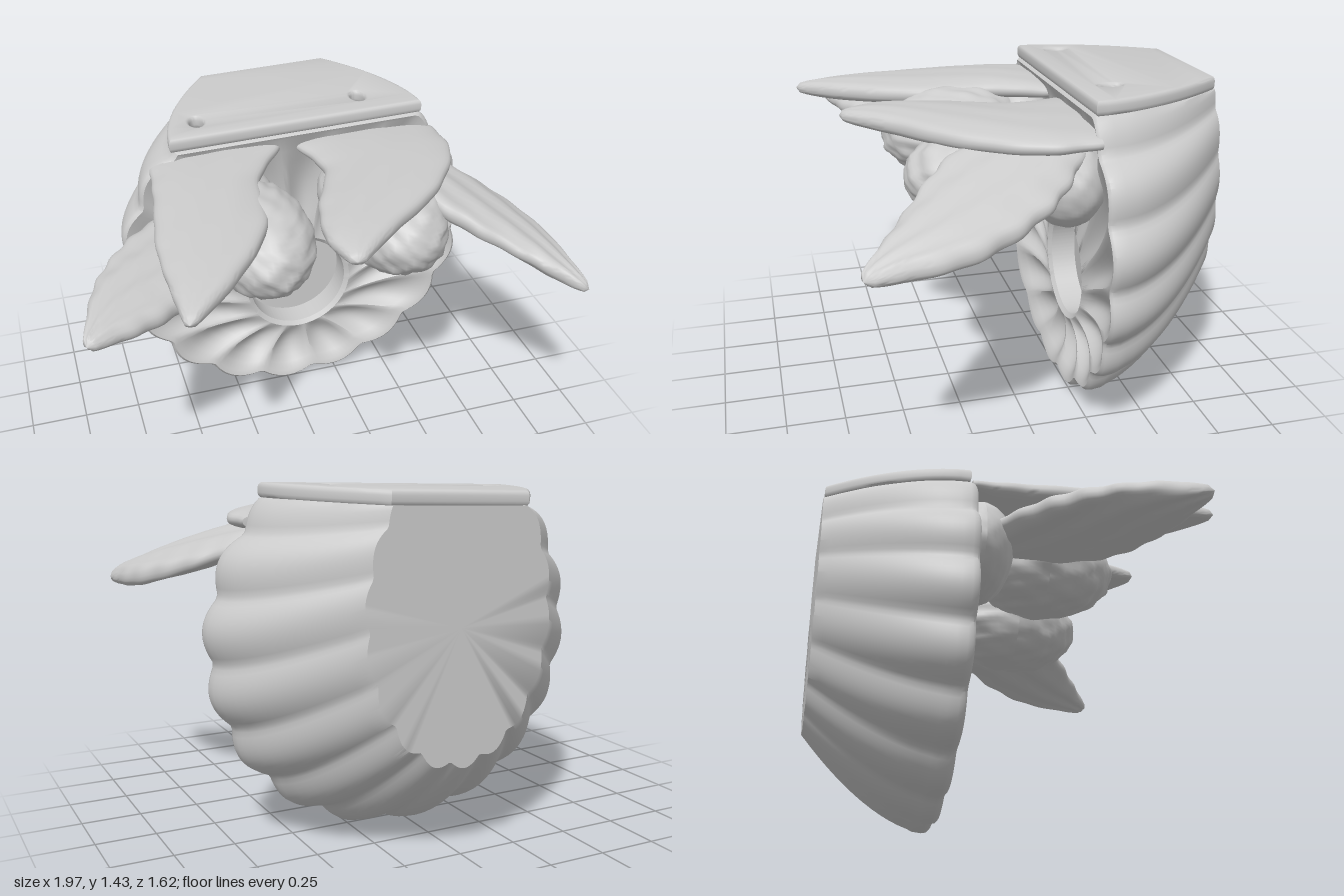
import * as THREE from 'three';
import { toCreasedNormals } from 'three/addons/utils/BufferGeometryUtils.js';

const V = (x, y, z) => new THREE.Vector3(x, y, z);
const grey = new THREE.MeshStandardMaterial({ color: 0xcccccc });

// Skin a list of equal-length closed rings
function loft(rings, crease) {
  const n = rings[0].length, idx = [];
  for (let i = 0; i < rings.length - 1; i++) for (let j = 0; j < n; j++) {
    const k = (j + 1) % n, a = i * n + j, b = i * n + k, c = a + n, d = b + n;
    idx.push(a, c, d, a, d, b);
  }
  const g = new THREE.BufferGeometry().setFromPoints(rings.flat());
  g.setIndex(idx);
  g.computeVertexNormals();
  return toCreasedNormals(g, crease);
}

function add(parent, name, geometry) {
  const m = new THREE.Mesh(geometry, grey);
  m.name = name;
  parent.add(m);
  return m;
}

// Shell: 18 ribs round an ellipse that shrinks and rises toward the back
const RIBS = 18, SEG = 216, CX = 0.05;
const rib = a => Math.abs(Math.sin((a + 0.07) * RIBS / 2));
const topY = x => 1.345 + 0.03 * x;
function ellipse(t) {
  const f = Math.pow(t, 1.7);
  return { cy: 0.78 + 0.17 * f, rx: 0.79 - 0.4 * f, ry: 0.78 - 0.2 * f };
}
const ring = fn => Array.from({ length: SEG }, (_, j) => fn(j / SEG * Math.PI * 2));
function outline(t, s, z) {
  const e = ellipse(t);
  return ring(a => {
    const k = s * (0.965 + 0.055 * rib(a));
    const x = CX + e.rx * k * Math.cos(a);
    const y = Math.min(e.cy + e.ry * k * Math.sin(a), topY(x) - (1 - s) * 0.5);
    return V(x, y, z + (t < 0.1 ? 0.025 * (y - 0.8) : 0));
  });
}
function shellGeometry() {
  const circle = (r, z) => ring(a => V(0.07 + r * Math.cos(a), 0.52 + r * Math.sin(a), z));
  const rim = outline(0, 0.95, -0.222), inner = circle(0.25, -0.275);
  const rings = [circle(0, -0.4), circle(0.23, -0.4), circle(0.23, -0.29), inner];
  // ribbed shallow dish between the round recess and the rim
  for (let i = 1; i < 8; i++) {
    const u = i / 8;
    rings.push(rim.map((p, j) => {
      const q = inner[j].clone().lerp(p, u);
      q.z -= Math.sin(u * Math.PI) * (0.015 + 0.045 * rib(j / SEG * Math.PI * 2));
      return q;
    }));
  }
  rings.push(rim, outline(0, 0.98, -0.215), outline(0, 0.995, -0.225));
  for (let i = 0; i <= 14; i++) rings.push(outline(i / 14, 1, -0.245 - 0.565 * i / 14));
  rings.push(ring(() => V(CX, 0.9, -0.81)));
  return loft(rings, 0.7);
}

// Flat top with two small screw holes
function topPlateGeometry() {
  const right = [], left = [];
  for (let i = 0; i <= 16; i++) {
    const t = i / 16, e = ellipse(t), z = -0.22 - 0.575 * t;
    const w = e.rx * Math.sqrt(1 - ((1.345 - e.cy) / e.ry) ** 2);
    right.push(new THREE.Vector2(CX + w, -z));
    left.unshift(new THREE.Vector2(CX - w, -z));
  }
  const shape = new THREE.Shape([...right, ...left]);
  for (const side of [-1, 1]) {
    const hole = new THREE.Path();
    hole.absellipse(side * 0.36, 0.35, 0.04, 0.058, 0, Math.PI * 2, true);
    shape.holes.push(hole);
  }
  const g = new THREE.ExtrudeGeometry(shape, {
    depth: 0.02, bevelThickness: 0.02, bevelSize: 0.015, bevelOffset: -0.005, bevelSegments: 3, curveSegments: 12
  });
  g.rotateX(-Math.PI / 2).rotateZ(0.03).translate(0, 1.36, 0);
  return toCreasedNormals(g, 0.6);
}

// Wing: lens-shaped sections between two plan edges (x, z) lying on a sloping plane
function wingGeometry(edgeA, edgeB, height, thick, ridge) {
  const curve = pts => new THREE.CatmullRomCurve3(pts.map(([x, z]) => V(x, height(x, z), z)));
  const A = curve(edgeA), B = curve(edgeB), rings = [], N = 48, M = 40;
  for (let i = 0; i <= N; i++) {
    const u = i / N, a = A.getPoint(u), b = B.getPoint(u);
    const mid = a.clone().lerp(b, 0.5), half = a.clone().sub(mid);
    const open = i === 0 || i === N ? 0 : 1;
    const taper = open * Math.pow(Math.sin(Math.PI * (0.12 + 0.88 * u)), 0.35);
    const w = open * (1 + 0.03 * ridge * Math.sin(u * 42));
    rings.push(Array.from({ length: M }, (_, j) => {
      const t = j / M * Math.PI * 2, c = Math.cos(t), s = Math.sin(t);
      const y = thick * taper * Math.sign(s) * Math.pow(Math.abs(s), 0.7) * (1 + 0.12 * ridge * Math.sin(c * 9 + u * 10));
      return mid.clone().addScaledVector(half, c * w).add(V(0, -y, 0));
    }));
  }
  return loft(rings, 0.9);
}

// Lumpy ellipsoid for the feathered breast and its root on the shell
function lumpGeometry(rx, ry, rz, bump, phase) {
  const g = new THREE.SphereGeometry(1, 56, 40), p = g.attributes.position, v = V(0, 0, 0);
  for (let i = 0; i < p.count; i++) {
    v.fromBufferAttribute(p, i);
    const k = Math.sin(v.x * 9 + phase) * Math.sin(v.y * 10 + 1) * Math.cos(v.z * 9 + phase)
      + 0.5 * Math.sin(v.x * 17 + v.z * 13) * Math.sin(v.y * 19 + phase);
    v.multiplyScalar(1 + bump * k);
    p.setXYZ(i, v.x * rx, v.y * ry, v.z * rz);
  }
  g.computeVertexNormals();
  return g;
}

// Bird body: breast plus the root that joins it to the shell
function birdBody(name, x, rootX, phase) {
  const bird = new THREE.Group();
  bird.name = name;
  add(bird, 'breast', lumpGeometry(0.22, 0.2, 0.32, 0.035, phase)).position.set(x, 1.085, 0.15);
  add(bird, 'root', lumpGeometry(0.26, 0.21, 0.16, 0.015, phase)).position.set(rootX, 1.07, -0.16);
  return bird;
}

export function createModel() {
  const model = new THREE.Group();
  model.name = 'shellWithBirds';
  const shell = new THREE.Group();
  shell.name = 'shell';
  add(shell, 'ribbedBowl', shellGeometry());
  add(shell, 'topPlate', topPlateGeometry());

  // each bird folds one wing forward and spreads the other outward
  const rightBird = birdBody('rightBird', -0.23, -0.33, 0.4);
  add(rightBird, 'forwardWing', wingGeometry(
    [[-0.02, -0.24], [-0.18, 0], [-0.24, 0.33], [-0.43, 0.61], [-0.63, 0.81]],
    [[-0.59, -0.24], [-0.62, 0], [-0.67, 0.33], [-0.67, 0.6], [-0.66, 0.8]],
    (x, z) => 1.27 + 0.04 * x - 0.04 * z, 0.055, 0.3));
  add(rightBird, 'outwardWing', wingGeometry(
    [[-0.35, 0], [-0.48, 0.35], [-0.72, 0.55], [-0.97, 0.66]],
    [[-0.5, -0.17], [-0.74, 0.06], [-0.91, 0.32], [-1, 0.64]],
    (x, z) => 1.02 - 0.12 * x - 0.09 * z, 0.06, 1));

  const leftBird = birdBody('leftBird', 0.34, 0.38, 2.1);
  add(leftBird, 'forwardWing', wingGeometry(
    [[0.67, -0.24], [0.66, 0], [0.48, 0.28], [0.22, 0.5], [0.02, 0.68]],
    [[0.04, -0.24], [0.09, 0], [-0.02, 0.28], [-0.06, 0.5], [-0.02, 0.67]],
    (x, z) => 1.265 - 0.01 * z, 0.055, 0.3));
  add(leftBird, 'outwardWing', wingGeometry(
    [[0.55, -0.2], [0.79, 0.01], [0.95, 0.33], [0.98, 0.7]],
    [[0.3, 0.05], [0.49, 0.34], [0.74, 0.56], [0.95, 0.73]],
    (x, z) => 1.41 - 0.4 * x - 0.08 * z, 0.06, 1));

  model.add(shell, rightBird, leftBird);
  return model;
}
